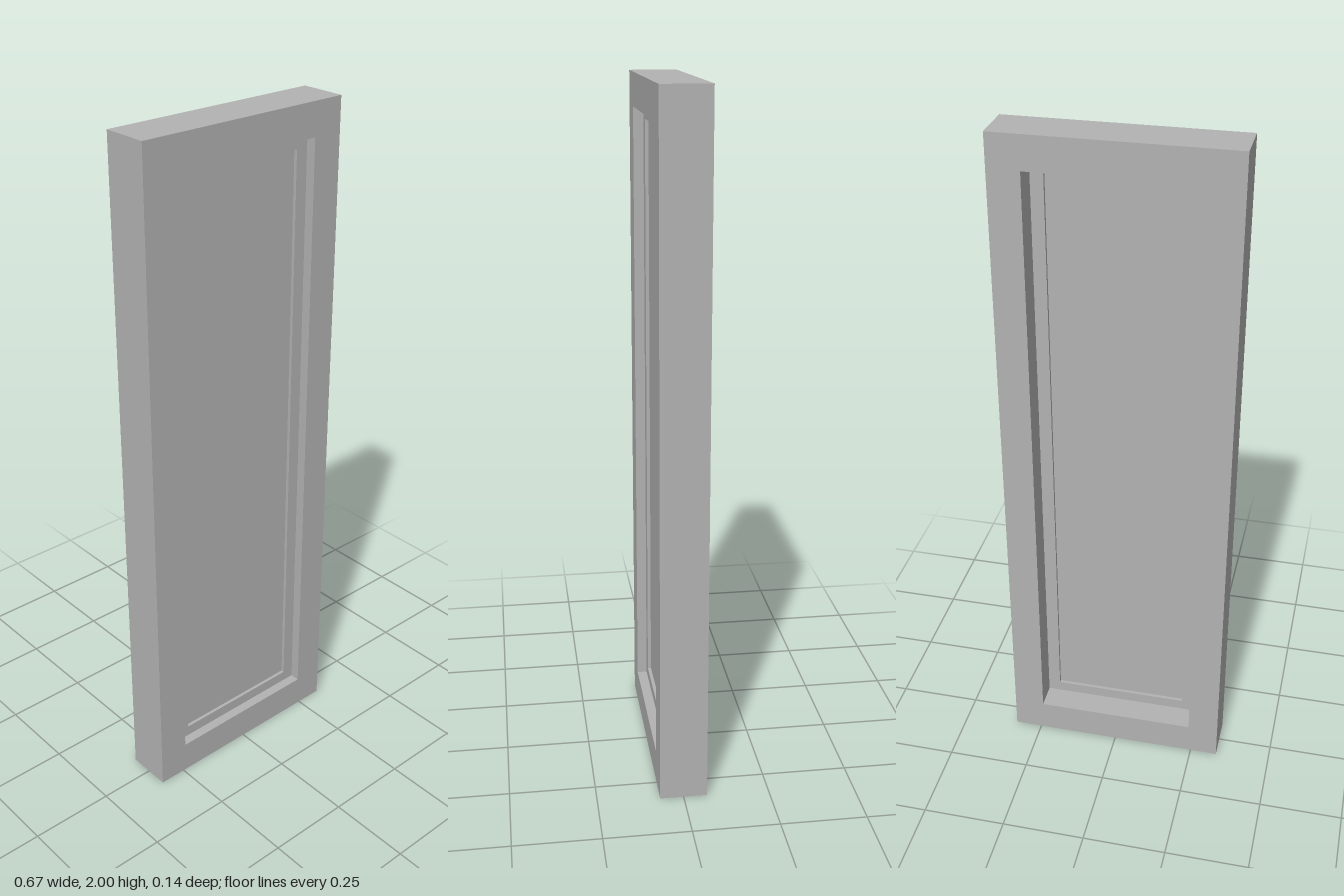
import * as THREE from 'three';

// Rectangle traced as a shape or hole path
function rect(path, halfWidth, bottom, top) {
  path.moveTo(-halfWidth, bottom);
  path.lineTo(halfWidth, bottom);
  path.lineTo(halfWidth, top);
  path.lineTo(-halfWidth, top);
  path.closePath();
  return path;
}

// Rectangular ring extruded from zBack to zFront
function ring(name, outer, inner, zBack, zFront, material) {
  const shape = rect(new THREE.Shape(), ...outer);
  shape.holes.push(rect(new THREE.Path(), ...inner));
  const geometry = new THREE.ExtrudeGeometry(shape, { depth: zFront - zBack, bevelEnabled: false });
  geometry.translate(0, 0, zBack);
  const mesh = new THREE.Mesh(geometry, material);
  mesh.name = name;
  return mesh;
}

export function createModel() {
  const group = new THREE.Group();
  group.name = 'window';
  const grey = new THREE.MeshStandardMaterial({ color: 0xb2b2b2 });
  grey.name = 'plain grey';

  // Half width, bottom and top of each outline
  const outside = [0.333, 0, 2];
  const opening = [0.241, 0.098, 1.904];
  const sight = [0.204, 0.131, 1.873];

  // Deep outer frame, with a thin sash set near its front
  group.add(ring('outerFrame', outside, opening, -0.0685, 0.0685, grey));
  group.add(ring('sash', opening, sight, 0.011, 0.039, grey));

  // Pane recessed on both sides of the sash
  const [halfWidth, bottom, top] = sight;
  const pane = new THREE.Mesh(new THREE.BoxGeometry(halfWidth * 2, top - bottom, 0.008), grey);
  pane.name = 'pane';
  pane.position.set(0, (bottom + top) / 2, 0.025);
  group.add(pane);

  return group;
}
